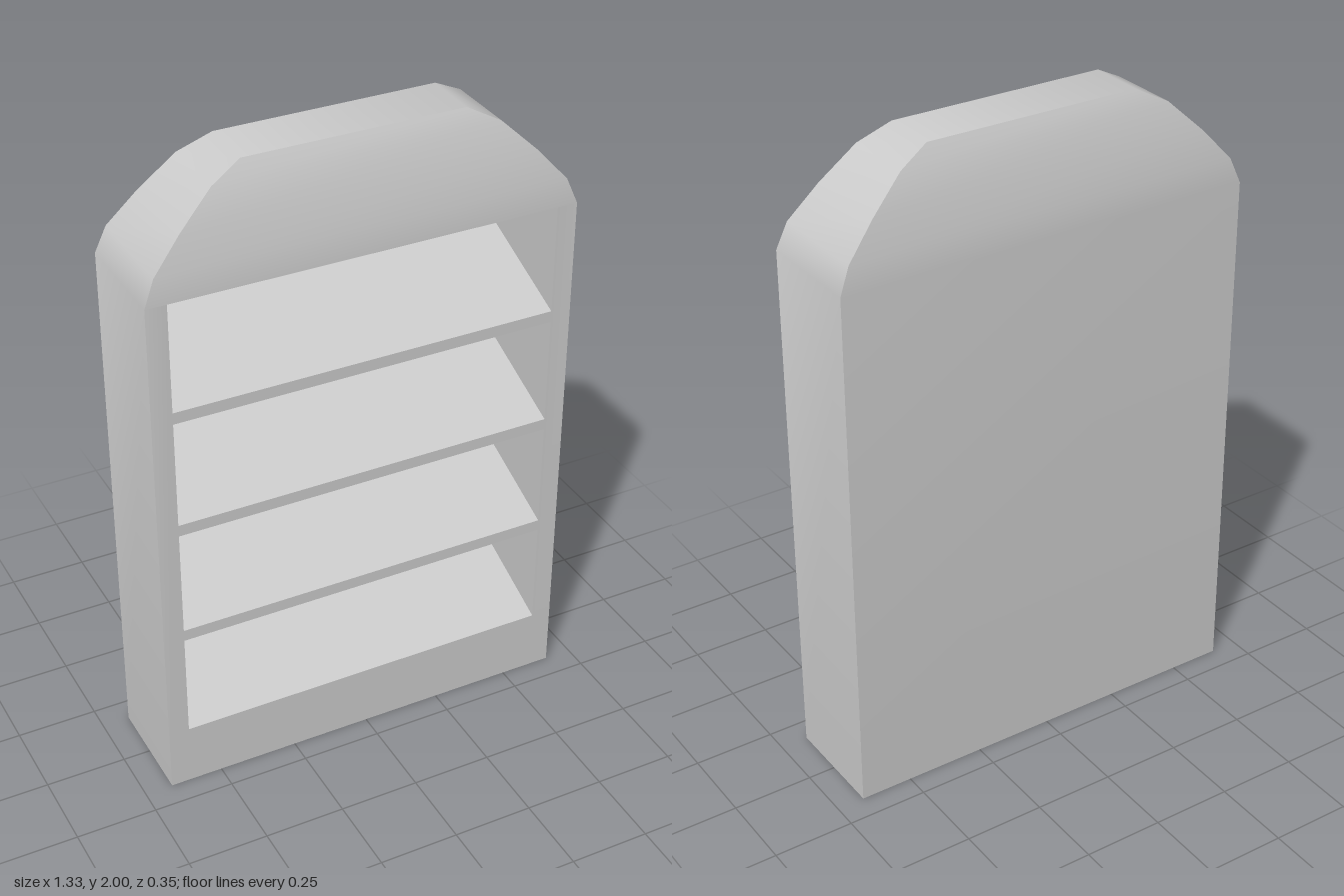
import * as THREE from 'three';
import { toCreasedNormals } from 'three/addons/utils/BufferGeometryUtils.js';

// Collects four-cornered faces (counter-clockwise from outside) into one mesh
function faceMesh(name, faces, material) {
  const points = [];
  for (const [a, b, c, d] of faces) points.push(...a, ...b, ...c, ...a, ...c, ...d);
  const geometry = new THREE.BufferGeometry();
  geometry.setAttribute('position', new THREE.Float32BufferAttribute(points, 3));
  const mesh = new THREE.Mesh(toCreasedNormals(geometry, 0.55), material);
  mesh.name = name;
  return mesh;
}

export function createModel() {
  const group = new THREE.Group();
  group.name = 'bookcase';
  const material = new THREE.MeshStandardMaterial({ color: 0xcccccc });

  const W = 0.664, D = 0.174, SHOULDER = 1.67;   // half width, half depth, start of the domed top
  const BAY_W = 0.6, BAY_H = 0.34, RISE = 0.14, BACK = -0.166;
  const bays = [0, 1, 2, 3].map((i) => 0.2 + i * (SHOULDER - 0.2 - BAY_H) / 3);

  // Rectangular cross-sections from the floor up: half width, height
  const profile = [[W, 0], [W, SHOULDER], [0.631, 1.75], [0.542, 1.85], [0.437, 1.95], [0.34, 2]];
  const rings = profile.map(([x, y]) => {
    const z = 0.089 + (D - 0.089) * (x - 0.34) / (W - 0.34);
    return [[-x, y, z], [x, y, z], [x, y, -z], [-x, y, -z]];
  });

  // Outer case: sides, back, dome, base and crown
  const shell = [];
  for (let i = 0; i < rings.length - 1; i++) {
    for (let k = 0; k < 4; k++) {
      if (i === 0 && k === 0) continue; // the open front
      const n = (k + 1) % 4;
      shell.push([rings[i][k], rings[i][n], rings[i + 1][n], rings[i + 1][k]]);
    }
  }
  shell.push([...rings[0]].reverse(), rings[rings.length - 1]);

  // Front frame: two stiles and a rail beneath each bay
  const frontPanel = (x0, x1, y0, y1) =>
    shell.push([[x0, y0, D], [x1, y0, D], [x1, y1, D], [x0, y1, D]]);
  frontPanel(-W, -BAY_W, 0, SHOULDER);
  frontPanel(BAY_W, W, 0, SHOULDER);
  bays.forEach((y, i) => frontPanel(-BAY_W, BAY_W, i ? bays[i - 1] + BAY_H : 0, y));
  group.add(faceMesh('case', shell, material));

  // Recessed bays, each with a shelf that slopes up to the back
  bays.forEach((y, i) => {
    const top = y + BAY_H, rear = y + RISE;
    const wall = (x) => [[x, y, D], [x, rear, BACK], [x, top, BACK], [x, top, D]];
    const l = wall(-BAY_W), r = wall(BAY_W);
    const bay = new THREE.Group();
    bay.name = `bay${i + 1}`;
    bay.add(
      faceMesh('slopedShelf', [[l[0], r[0], r[1], l[1]]], material),
      faceMesh('bayLining', [
        [l[1], r[1], r[2], l[2]],
        [l[2], r[2], r[3], l[3]],
        l,
        [...r].reverse(),
      ], material),
    );
    group.add(bay);
  });

  return group;
}
